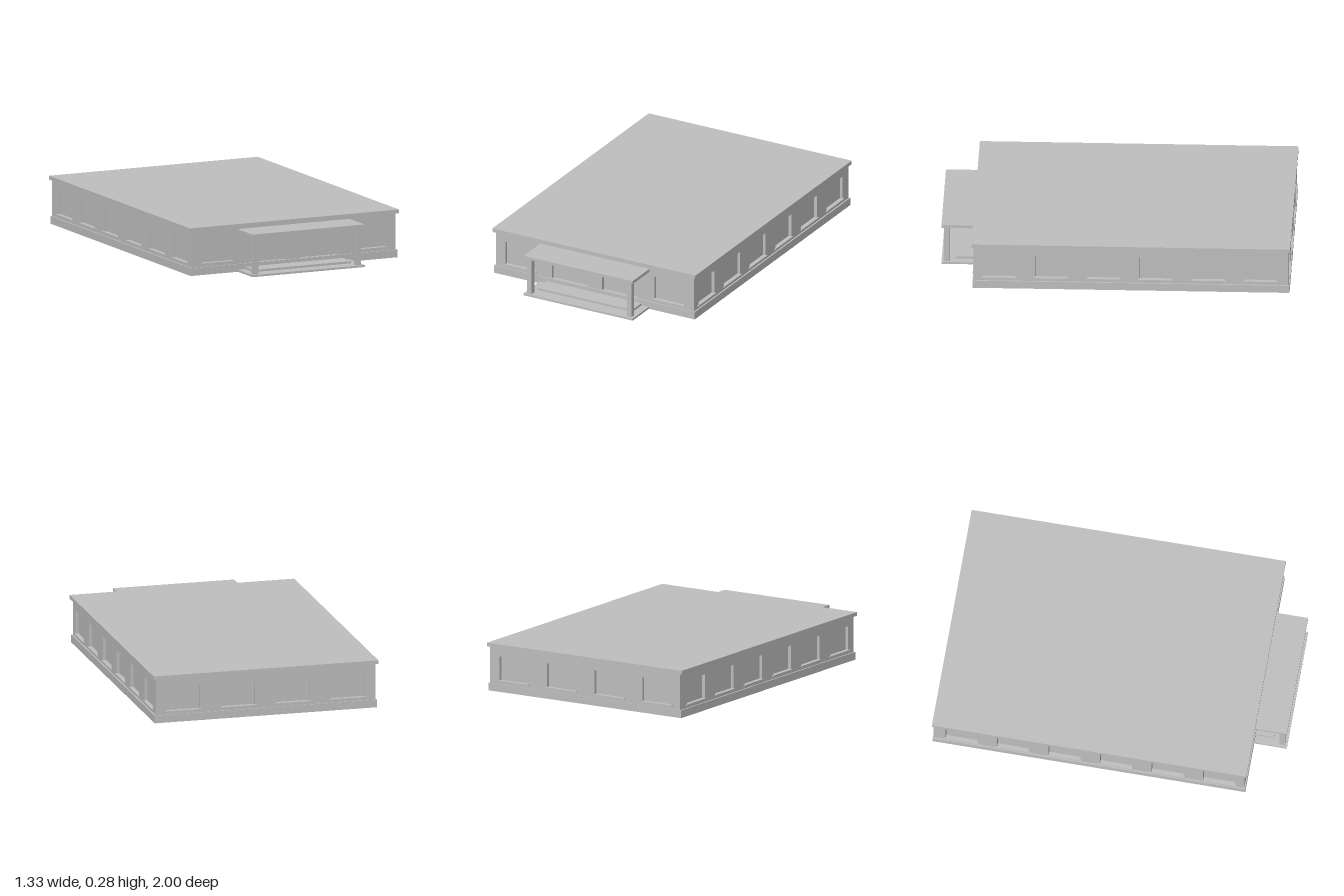
import * as THREE from 'three';

export function createModel() {
  const model = new THREE.Group();
  model.name = 'building';
  const gray = new THREE.MeshStandardMaterial({ color: 0xbfbfbf });
  gray.name = 'plain gray';

  // Box given by its lower and upper limits
  function block(name, x0, x1, y0, y1, z0, z1, parent = model) {
    const mesh = new THREE.Mesh(new THREE.BoxGeometry(x1 - x0, y1 - y0, z1 - z0), gray);
    mesh.position.set((x0 + x1) / 2, (y0 + y1) / 2, (z0 + z1) / 2);
    mesh.name = name;
    parent.add(mesh);
  }

  const X = 0.648, FRONT = 0.805, BACK = -0.992;
  const BASE = 0.045, EAVE = 0.256, DEPTH = 0.018;
  const midZ = (FRONT + BACK) / 2, halfZ = (FRONT - BACK) / 2;

  // Main masses; the core closes the back of every window recess
  block('base', -0.657, 0.657, 0, BASE, -0.997, 0.812);
  block('core', -X + DEPTH, X - DEPTH, BASE, EAVE, BACK + DEPTH, FRONT - DEPTH);
  block('roofSlab', -0.664, 0.664, EAVE, 0.278, -1, 0.818);

  // Outer wall with window holes, modelled facing +z and then turned outward
  function wall(name, half, openings, x, z, turn) {
    const group = new THREE.Group();
    group.name = name;
    const shape = new THREE.Shape();
    shape.moveTo(-half, BASE).lineTo(half, BASE).lineTo(half, EAVE).lineTo(-half, EAVE).closePath();
    for (const { c, w, y0, y1, sill } of openings) {
      const hole = new THREE.Path();
      hole.moveTo(c - w / 2, y0).lineTo(c - w / 2, y1).lineTo(c + w / 2, y1).lineTo(c + w / 2, y0).closePath();
      shape.holes.push(hole);
      if (sill) block('windowSill', c - w / 2 - 0.009, c + w / 2 + 0.009, 0.059, 0.067, -DEPTH, 0.008, group);
    }
    const geometry = new THREE.ExtrudeGeometry(shape, { depth: DEPTH, bevelEnabled: false });
    geometry.translate(0, 0, -DEPTH);
    const mesh = new THREE.Mesh(geometry, gray);
    mesh.name = name + 'Panel';
    group.add(mesh);
    group.position.set(x, 0, z);
    group.rotation.y = turn;
    model.add(group);
  }
  const windowAt = (c, w) => ({ c, w, y0: 0.065, y1: 0.206, sill: true });
  const doorAt = (c) => ({ c, w: 0.232, y0: BASE + 0.001, y1: 0.213, sill: false });

  wall('frontWall', X, [windowAt(-0.487, 0.195), doorAt(-0.164), doorAt(0.164), windowAt(0.487, 0.195)], 0, FRONT, 0);
  wall('backWall', X, [-0.487, -0.162, 0.162, 0.487].map((c) => windowAt(c, 0.195)), 0, BACK, Math.PI);
  const sideCentres = [0, 1, 2, 3, 4, 5].map((i) => 0.66 - i * 0.298 - midZ);
  wall('leftWall', halfZ - DEPTH, sideCentres.map((c) => windowAt(-c, 0.185)), X, midZ, Math.PI / 2);
  wall('rightWall', halfZ - DEPTH, sideCentres.map((c) => windowAt(c, 0.185)), -X, midZ, -Math.PI / 2);

  // Entrance porch
  block('lowerStep', -0.357, 0.357, 0, 0.012, 0.8, 1);
  block('upperStep', -0.31, 0.31, 0.012, 0.025, 0.8, 0.92);
  block('canopy', -0.357, 0.357, 0.229, 0.247, 0.8, 1);
  for (const s of [-1, 1]) {
    block('porchColumn', s * 0.326 - 0.015, s * 0.326 + 0.015, 0.012, 0.229, 0.956, 0.986);
  }
  return model;
}
